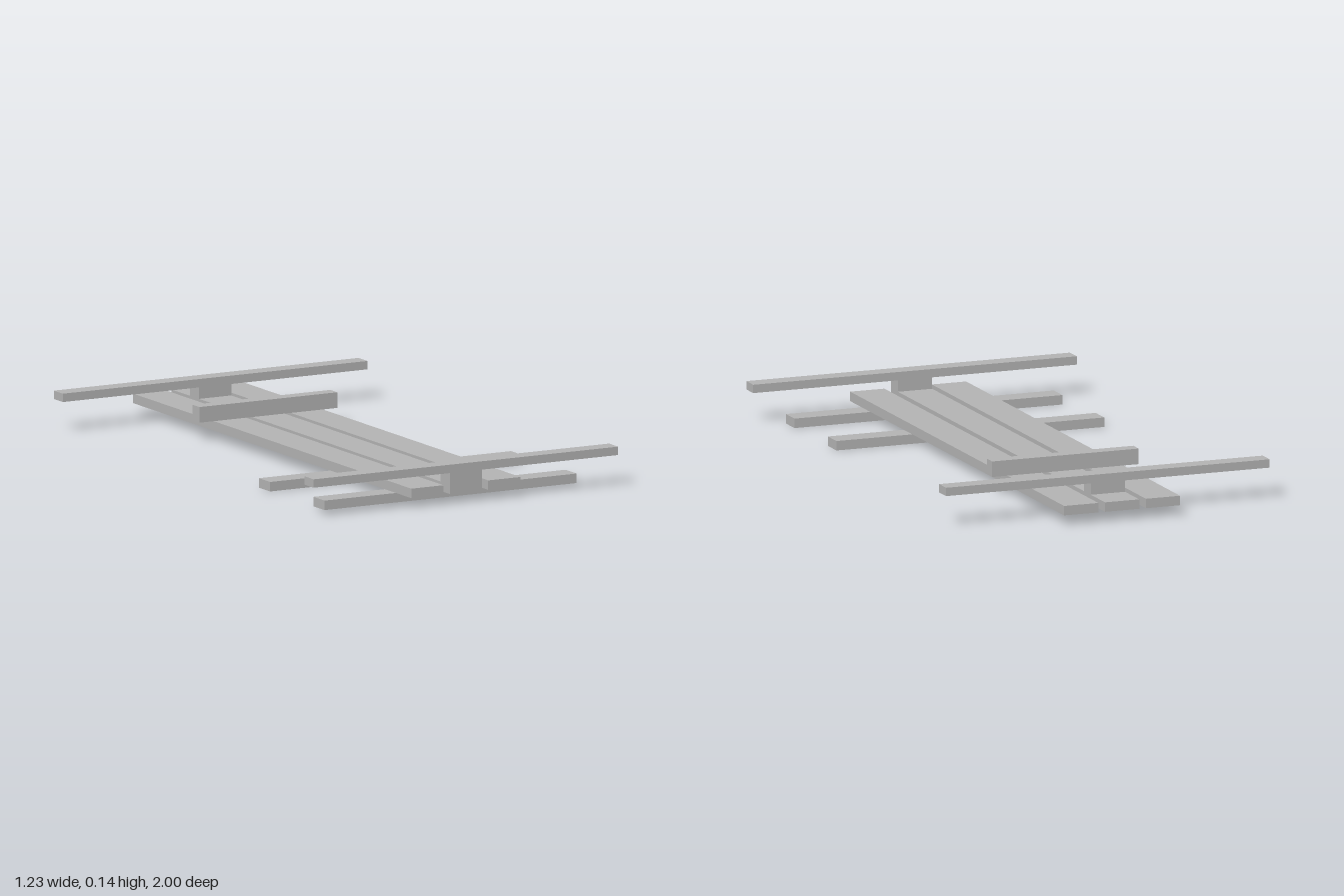
import * as THREE from 'three';

export function createModel() {
  const model = new THREE.Group();
  const grey = new THREE.MeshStandardMaterial({ color: 0xb2b2b2 });
  grey.name = 'plain grey';

  // Box given by its lower and upper limits on each axis
  function bar(name, [x0, x1], [y0, y1], [z0, z1]) {
    const mesh = new THREE.Mesh(new THREE.BoxGeometry(x1 - x0, y1 - y0, z1 - z0), grey);
    mesh.position.set((x0 + x1) / 2, (y0 + y1) / 2, (z0 + z1) / 2);
    mesh.name = name;
    model.add(mesh);
  }

  const battenTop = 0.034, deckTop = 0.068, railBottom = 0.109, railTop = 0.139;

  // Three long deck planks
  const planks = { rightPlank: -0.155, centrePlank: 0, leftPlank: 0.155 };
  for (const [name, x] of Object.entries(planks)) {
    bar(name, [x - 0.065, x + 0.065], [battenTop, deckTop], [-1, 1]);
  }

  // Two battens below the deck
  bar('rearBatten', [-0.508, 0.508], [0, battenTop], [0.418, 0.498]);
  bar('frontBatten', [-0.508, 0.508], [0, battenTop], [0.81, 0.89]);

  // Wide rails, each raised on a central spacer block
  for (const [end, z0, z1] of [['front', 0.935, 1], ['rear', -0.867, -0.802]]) {
    bar(end + 'Spacer', [-0.065, 0.065], [deckTop, railBottom], [z0, z1]);
    bar(end + 'Rail', [-0.614, 0.614], [railBottom, railTop], [z0, z1]);
  }

  // Short upright crossbar
  bar('crossbar', [-0.278, 0.278], [deckTop, 0.124], [-0.47, -0.42]);

  return model;
}
